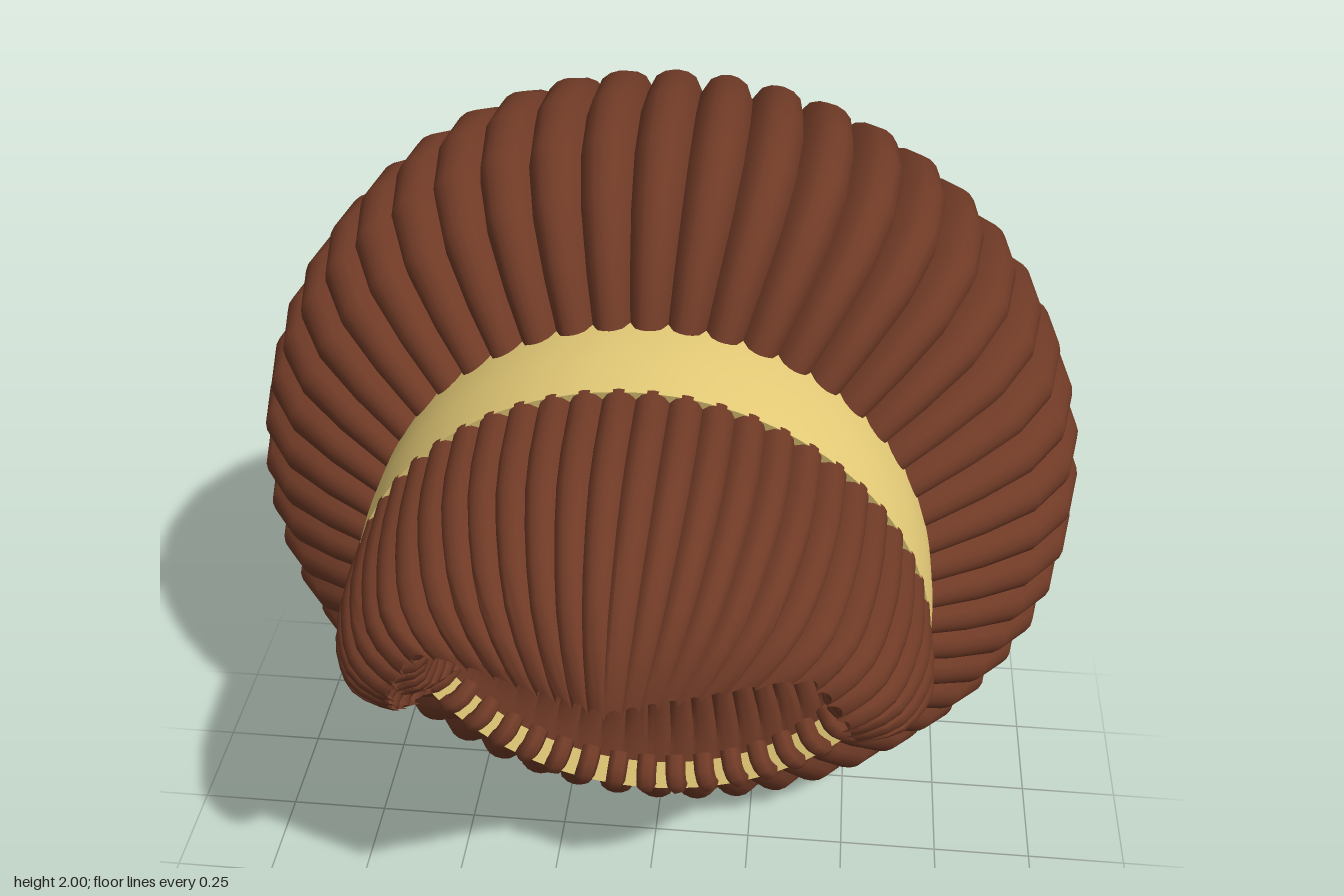
import * as THREE from 'three';
import { toCreasedNormals } from 'three/addons/utils/BufferGeometryUtils.js';

const DEG = Math.PI / 180;
const brown = new THREE.MeshStandardMaterial({ color: 0x6f3a26, side: THREE.DoubleSide });
const gold = new THREE.MeshStandardMaterial({ color: 0xe6cc78, side: THREE.DoubleSide });
const BAND_Y = 1.035; // height of the band's centre

// Grid surface from a rule f(u, v) -> Vector3, u and v in 0..1
function surface(nu, nv, f, crease = 0.9) {
  const pos = [], index = [];
  for (let j = 0; j <= nv; j++)
    for (let i = 0; i <= nu; i++) pos.push(...f(i / nu, j / nv).toArray());
  for (let j = 0; j < nv; j++)
    for (let i = 0; i < nu; i++) {
      const a = j * (nu + 1) + i, b = a + 1, c = a + nu + 1, d = c + 1;
      index.push(a, b, c, b, d, c);
    }
  const g = new THREE.BufferGeometry();
  g.setAttribute('position', new THREE.Float32BufferAttribute(pos, 3));
  g.setIndex(index);
  return toCreasedNormals(g, crease);
}

// Linear lookup in a list of [key, value]
function lookup(list, x) {
  if (x <= list[0][0]) return list[0][1];
  for (let i = 1; i < list.length; i++) {
    const [x0, y0] = list[i - 1], [x1, y1] = list[i];
    if (x <= x1) return y0 + ((y1 - y0) * (x - x0)) / (x1 - x0);
  }
  return list[list.length - 1][1];
}

// Strand cross-section: 0 on the crest, 1 in the sharp valley
const valley = (t) => 1 - Math.sqrt(Math.abs(Math.sin(Math.PI * t)));

// Angle measured from the side (0) over the top (90), folded to one half
const fold = (deg) => {
  const a = ((deg + 90) % 360 + 360) % 360 - 90;
  return a > 90 ? 180 - a : a;
};
const bandFront = (deg) => lookup([[-35, 0.24], [-20, 0.26], [-3, 0.4]], fold(deg));

// Big gathered bun, ribbed around the z axis with a swirled dimple at the back
function makeBun() {
  const ribs = 50;
  const profile = [
    [0.57, 0.2], [0.65, 0.17], [0.77, 0.1], [0.89, 0], [0.97, -0.12], [1, -0.27], [0.985, -0.42],
    [0.93, -0.55], [0.85, -0.65], [0.69, -0.78], [0.53, -0.87], [0.28, -0.96],
    [0.15, -0.95], [0.06, -0.9], [0, -0.82],
  ];
  return surface(ribs * 6, profile.length - 1, (u, v) => {
    const row = Math.round(v * (profile.length - 1));
    const [pr, pz] = profile[row];
    const dip = valley(u * ribs), k = 1 - 0.05 * dip;
    const r = pr * k;
    const z = row > 10 ? pz + 0.06 * pr * dip : -0.3 + (pz + 0.3) * k;
    const a = u * Math.PI * 2 + 0.22 * Math.max(0, row - 10);
    const cy = 1 + 0.035 * THREE.MathUtils.smoothstep(z, -0.1, 0.17);
    return new THREE.Vector3(r * Math.cos(a), cy + r * Math.sin(a), z);
  });
}

// Band ring: long over the top, short below, with an inward front flange
function makeBand() {
  return surface(96, 4, (u, v) => {
    const deg = u * 360 - 90, a = deg * DEG, z1 = bandFront(deg), row = Math.round(v * 4);
    const r = [0.62, 0.635, 0.637, 0.63, 0.56][row];
    const z = [0.02, 0.17, (0.17 + z1) / 2, z1, z1 - 0.02][row];
    return new THREE.Vector3(r * Math.cos(a), BAND_Y + r * Math.sin(a), z);
  }, 0.6);
}

// Front hood: strands sweep forward from the band, meet a level lip and roll back inside
function makeHood() {
  const ribs = 36, lipZ = [[-22, 0.3], [-17, 0.47], [-8, 0.6], [2, 0.7], [17, 0.79], [38, 0.83], [60, 0.9], [90, 0.96]];
  return surface(ribs * 6, 18, (u, v) => {
    const deg = -22 + 224 * u, f = fold(deg), a = deg * DEG;
    const s = Math.max(0.01, Math.sin(f * DEG));
    const z0 = bandFront(deg) - 0.01, L = lookup(lipZ, f) - z0;
    const lip = Math.min(0.48, 0.3 / s), end = Math.min(0.42, 0.18 / s);
    const curve = new THREE.SplineCurve([
      [0.632, z0], [0.635 - 0.035 * s, z0 + 0.45 * L], [0.63 - (0.63 - lip) * (0.36 + 0.12 * s), z0 + 0.85 * L],
      [lip, z0 + L], [lip - 0.01, z0 + 0.84 * L], [end, z0 + 0.7 * L], [end, z0 + 0.2 * L],
    ].map((p) => new THREE.Vector2(...p)));
    const p = curve.getPoint(v);
    const r = p.x - 0.022 * valley(u * ribs) * (v > 0.5 ? -0.6 : 1);
    return new THREE.Vector3(r * Math.cos(a), BAND_Y + r * Math.sin(a), p.y);
  });
}

// Inner fan: strands fall back from under the lip, then spread down to the lower ring
function makeFan() {
  const ribs = 24;
  return surface(ribs * 6, 12, (u, v) => {
    const a = (-162 + 144 * u) * DEG;
    const top = new THREE.Vector3((u - 0.5) * 0.46, 1.24, 0.6);
    const bottom = new THREE.Vector3(0.58 * Math.cos(a), BAND_Y + 0.58 * Math.sin(a), 0.225);
    const mid = top.clone().lerp(bottom, 0.5);
    mid.x *= 1.1;
    mid.z = 0.1;
    const p = new THREE.QuadraticBezierCurve3(top, mid, bottom).getPoint(v);
    p.z -= 0.03 * valley(u * ribs) * (1 - v * v);
    return p;
  });
}

export function createModel() {
  const group = new THREE.Group();
  const add = (name, geometry, material, parent = group) => {
    const mesh = new THREE.Mesh(geometry, material);
    mesh.name = name;
    parent.add(mesh);
    return mesh;
  };
  add('hairBun', makeBun(), brown);
  add('headband', makeBand(), gold);
  add('frontHood', makeHood(), brown);
  add('innerFan', makeFan(), brown);

  // Strand ends wrapped over the lower half of the band
  const ends = new THREE.Group();
  ends.name = 'strandEnds';
  group.add(ends);
  const path = new THREE.CatmullRomCurve3([
    [0.64, 0.13], [0.635, 0.2], [0.61, 0.245], [0.575, 0.245], [0.55, 0.21],
  ].map(([r, z]) => new THREE.Vector3(r, 0, z)));
  const endShape = new THREE.TubeGeometry(path, 10, 0.025, 7);
  for (let i = -10; i <= 10; i++) {
    const strand = add('strandEnd', endShape, brown, ends);
    strand.position.y = BAND_Y;
    strand.rotation.z = (-90 + i * 7.2) * DEG;
  }
  return group;
}
